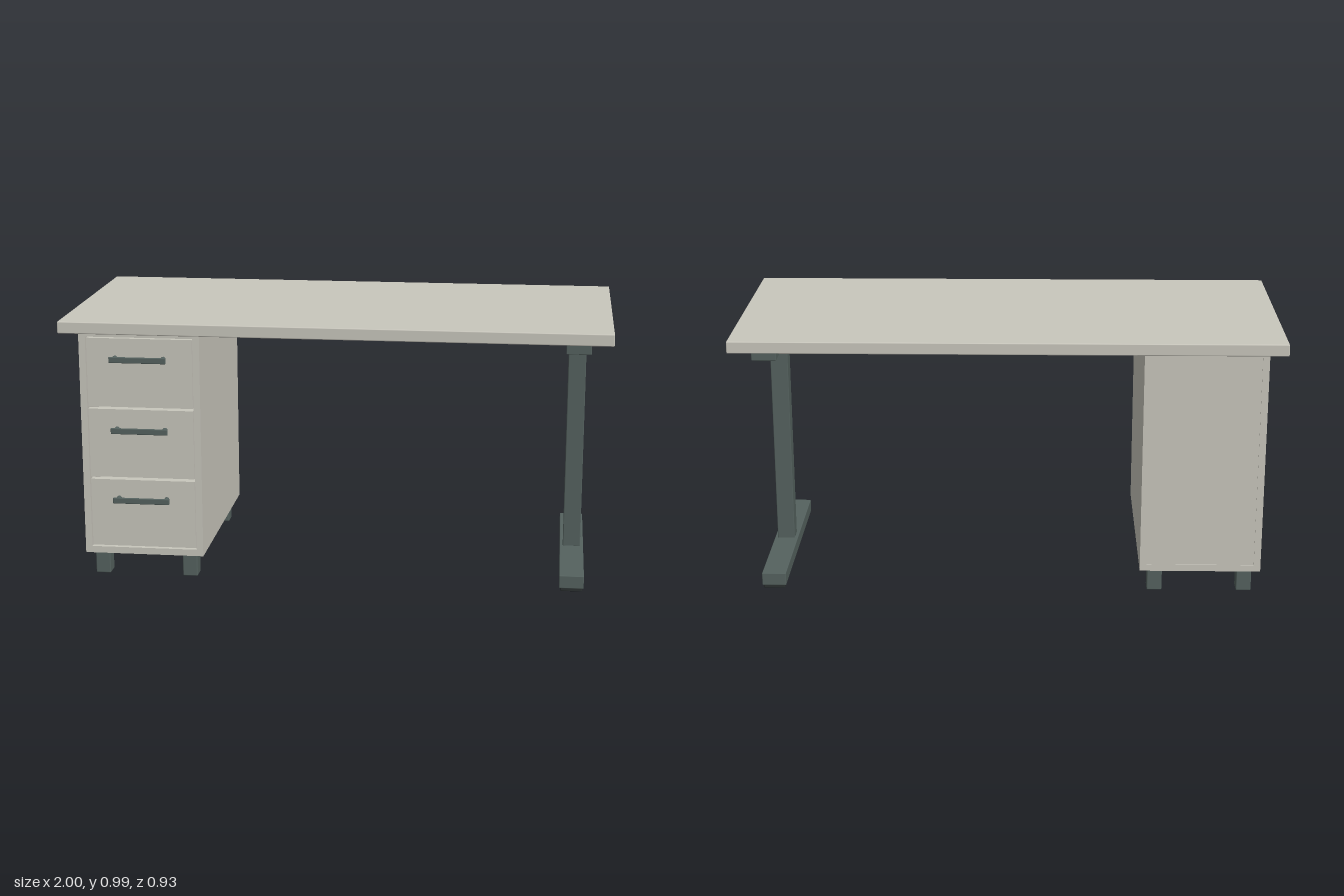
import * as THREE from 'three';
import { RoundedBoxGeometry } from 'three/addons/geometries/RoundedBoxGeometry.js';

const board = new THREE.MeshStandardMaterial({ color: 0xc9c7bd });
const steel = new THREE.MeshStandardMaterial({ color: 0x55625f });
const rubber = new THREE.MeshStandardMaterial({ color: 0x2b3030 });

// Box given by its limits on each axis, with an optional edge radius
function block(parent, name, material, [x0, x1], [y0, y1], [z0, z1], radius = 0) {
  const size = [x1 - x0, y1 - y0, z1 - z0];
  const geometry = radius
    ? new RoundedBoxGeometry(...size, 2, radius)
    : new THREE.BoxGeometry(...size);
  const mesh = new THREE.Mesh(geometry, material);
  mesh.name = name;
  mesh.position.set((x0 + x1) / 2, (y0 + y1) / 2, (z0 + z1) / 2);
  parent.add(mesh);
}

function group(parent, name) {
  const g = new THREE.Group();
  g.name = name;
  parent.add(g);
  return g;
}

// Pull handle: two round posts and a slim rounded bar
function addHandle(parent, x, y, z) {
  const handle = group(parent, 'handle');
  handle.position.set(x, y, z);
  for (const side of [-1, 1]) {
    const post = new THREE.Mesh(new THREE.CylinderGeometry(0.009, 0.009, 0.04, 16), steel);
    post.name = 'handlePost';
    post.rotation.x = Math.PI / 2;
    post.position.set(side * 0.09, 0, 0.018);
    handle.add(post);
  }
  block(handle, 'handleBar', steel, [-0.106, 0.106], [-0.011, 0.011], [0.03, 0.039], 0.003);
}

function addCabinet(parent) {
  const cabinet = group(parent, 'drawerCabinet');
  const [left, right, t] = [-0.94, -0.492, 0.025];
  const inner = [left + t, right - t];
  const depth = [-0.4, 0.4];

  // Carcass panels
  block(cabinet, 'sidePanel', board, [left, left + t], [0.09, 0.943], depth);
  block(cabinet, 'sidePanel', board, [right - t, right], [0.09, 0.943], depth);
  block(cabinet, 'bottomPanel', board, inner, [0.09, 0.115], depth);
  block(cabinet, 'topPanel', board, inner, [0.92, 0.943], depth);
  block(cabinet, 'backPanel', board, inner, [0.115, 0.92], [-0.397, -0.375]);

  // Drawers, each with a box behind its front
  for (const [y0, y1, handleY] of [[0.12, 0.378, 0.307], [0.388, 0.648, 0.574], [0.657, 0.915, 0.842]]) {
    const drawer = group(cabinet, 'drawer');
    block(drawer, 'drawerFront', board, [inner[0] + 0.003, inner[1] - 0.003], [y0, y1], [0.37, 0.396]);
    block(drawer, 'drawerBox', board, [inner[0] + 0.015, inner[1] - 0.015], [y0 + 0.01, y1 - 0.02], [-0.35, 0.37]);
    addHandle(drawer, (left + right) / 2, handleY, 0.396);
  }

  // Four short feet
  for (const x of [-0.883, -0.549])
    for (const z of [-0.34, 0.34])
      block(cabinet, 'cabinetFoot', steel, [x - 0.028, x + 0.028], [0, 0.09], [z - 0.03, z + 0.03], 0.004);
}

function addLeg(parent) {
  const leg = group(parent, 'supportLeg');
  block(leg, 'topRail', steel, [0.833, 0.923], [0.897, 0.943], [-0.4, 0.4], 0.003);
  block(leg, 'column', steel, [0.845, 0.911], [0.06, 0.9], [-0.033, 0.033], 0.003);
  block(leg, 'footRail', steel, [0.833, 0.923], [0.013, 0.062], [-0.386, 0.386], 0.003);
  for (const z of [-0.341, 0.341])
    block(leg, 'footPad', rubber, [0.838, 0.918], [0, 0.014], [z - 0.039, z + 0.039], 0.003);
}

export function createModel() {
  const desk = new THREE.Group();
  desk.name = 'desk';
  block(desk, 'tabletop', board, [-1, 1], [0.943, 0.987], [-0.466, 0.466], 0.004);
  addCabinet(desk);
  addLeg(desk);
  return desk;
}
